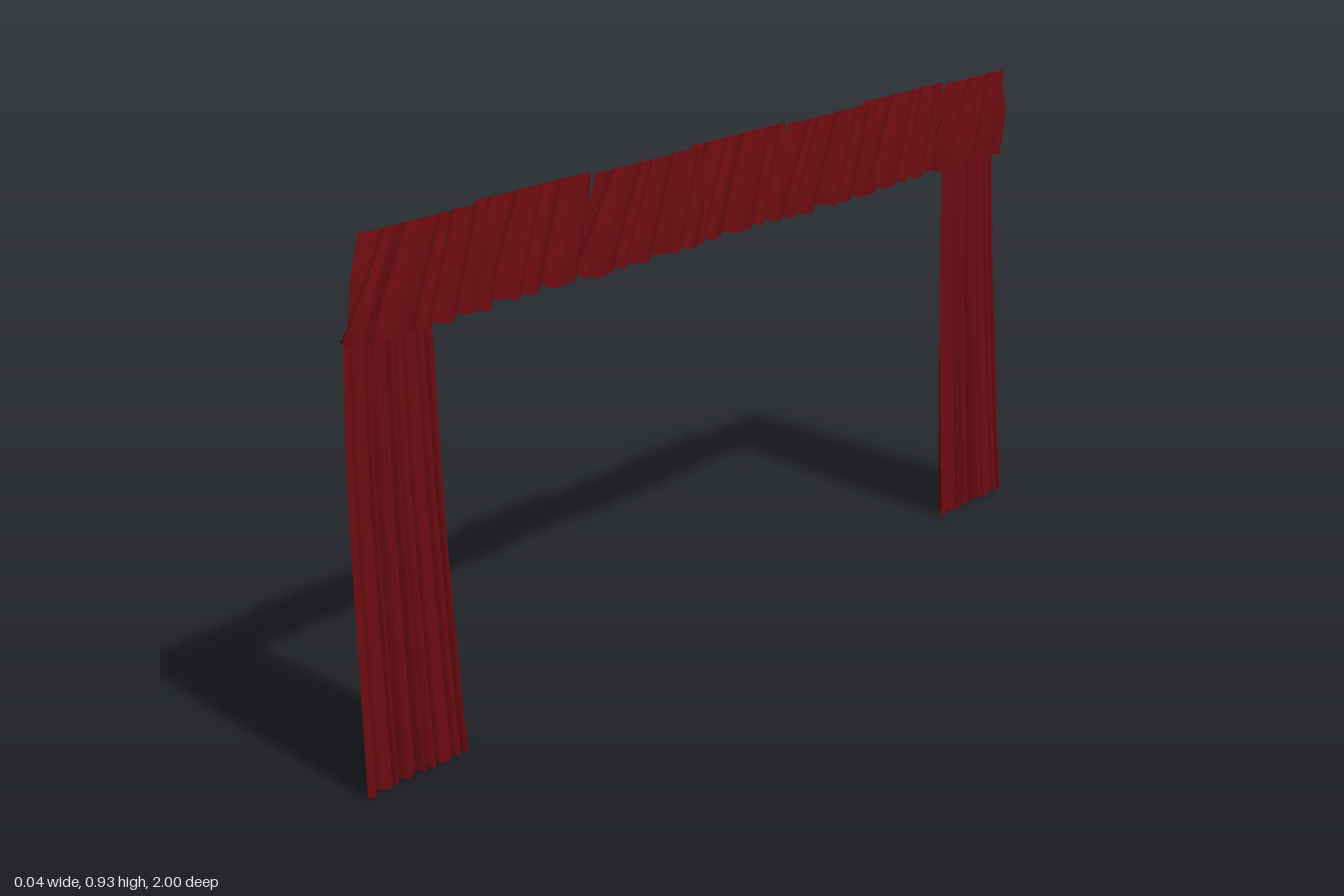
import * as THREE from 'three';

const velvet = new THREE.MeshStandardMaterial({ color: 0x6c0c10, side: THREE.DoubleSide });
velvet.name = 'dark red velvet';

// Cloth sheet from a rule: at(u, v) gives [x, y, z]; u runs towards -z, v runs up
function sheet(name, nu, nv, at) {
  const pos = [], index = [];
  for (let j = 0; j <= nv; j++)
    for (let i = 0; i <= nu; i++) pos.push(...at(i / nu, j / nv));
  for (let j = 0; j < nv; j++)
    for (let i = 0; i < nu; i++) {
      const a = j * (nu + 1) + i, b = a + nu + 1;
      index.push(a, a + 1, b, a + 1, b + 1, b);
    }
  const geo = new THREE.BufferGeometry();
  geo.setAttribute('position', new THREE.Float32BufferAttribute(pos, 3));
  geo.setIndex(index);
  geo.computeVertexNormals();
  const mesh = new THREE.Mesh(geo, velvet);
  mesh.name = name;
  return mesh;
}

const lerp = THREE.MathUtils.lerp;
// Round pleat with a sharp crease between neighbours, 0 to 1
const pleat = t => Math.pow(Math.abs(Math.sin(Math.PI * t)), 0.65);
// Uneven spacing so that the pleats differ in width
const uneven = (t, seed) => t + 0.22 * Math.sin(2.3 * t + seed) + 0.12 * Math.sin(5.1 * t + 2 * seed);

// Side curtain: gathered at the top, flaring towards the floor
function sideCurtain(name, shift) {
  return sheet(name, 144, 16, (u, v) => {
    const outer = 1 - 0.012 * Math.pow(v, 5);
    const inner = 0.743 + 0.037 * Math.pow(v, 0.8);
    const fold = pleat(uneven(u * 9, 1));
    const back = lerp(-0.014, -0.021, Math.min(1, v * 1.6));
    const depth = lerp(0.031, 0.011, v);
    const hem = 0.005 * (1 - fold) * (1 - v);
    return [back + depth * fold, hem + 0.762 * v, lerp(outer, inner, u) + shift];
  });
}

// Valance panel: diagonal pleats, slanted leading edge and scalloped hem
function valancePanel(k, z0, z1) {
  const forward = k % 2 === 0;
  return sheet('valancePanel' + (k + 1), 96, 14, (u, v) => {
    const lead = z0 + 0.038 * (1 - Math.pow(v, 1.8)) - 0.006 * Math.pow(1 - v, 4);
    const trail = z1 - 0.01 * (1 - v);
    const fold = pleat(uneven(u * 5 - 0.9 * v, k * 1.3));
    const depth = lerp(0.019, 0.007, v * v);
    const back = forward ? lerp(-0.002, 0.01, v) : lerp(-0.012, -0.008, v);
    // leading edge turns back behind its neighbour
    const turn = 0.014 * Math.pow(Math.max(0, 1 - u * 9), 2) * (1 - 0.5 * v);
    const hem = 0.75 + 0.009 * (1 - fold);
    return [back + depth * fold - (forward ? turn : 0.5 * turn), lerp(hem, 0.931, v), lerp(lead, trail, u)];
  });
}

export function createModel() {
  const model = new THREE.Group();
  model.name = 'stageCurtain';

  model.add(sideCurtain('leftCurtain', 0), sideCurtain('rightCurtain', -1.743));

  const valance = new THREE.Group();
  valance.name = 'valance';
  const breaks = [0.962, 0.68, 0.395, 0.105, -0.18, -0.455, -0.735, -0.945];
  for (let k = 0; k < 7; k++) valance.add(valancePanel(k, breaks[k], breaks[k + 1]));
  model.add(valance);
  return model;
}
